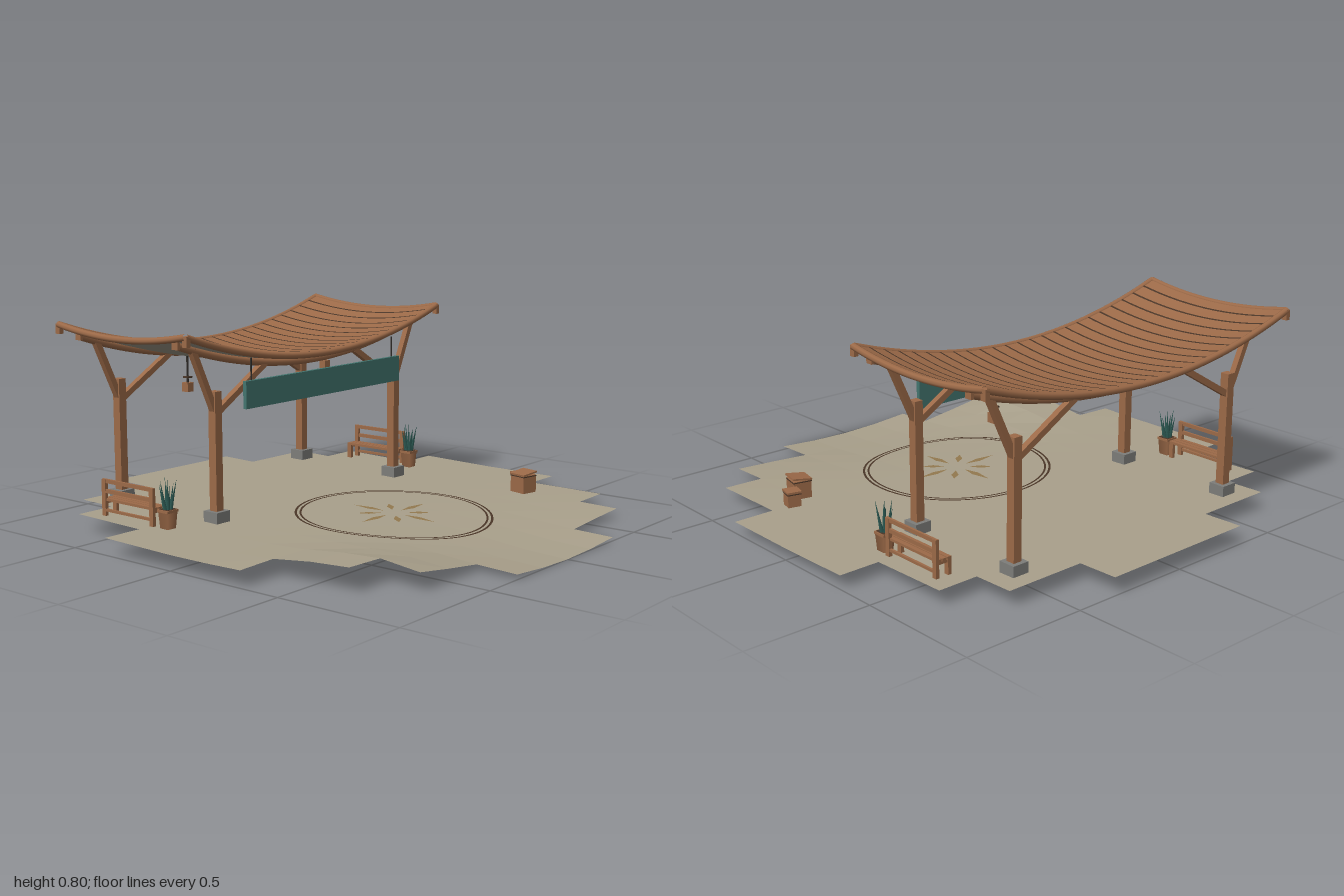
import * as THREE from 'three';

const mat = (name, color) => {
  const m = new THREE.MeshStandardMaterial({ color });
  m.name = name;
  return m;
};

// Gently uneven ground height
const ground = (x, z) => 0.052 - 0.006 * x + 0.02 * Math.max(0, -z)
  + 0.045 * Math.exp(-((x + 0.75) ** 2 + (z - 0.65) ** 2) / 0.07)
  - 0.052 * Math.exp(-(x * x / 0.3 + (z - 1) ** 2 / 0.2));

// Saddle-shaped roof height
const RX = 0.77, RZ = 0.345, ZC = -0.48;
const roofY = (x, z) => 0.62 + 0.135 * (x / 0.777) ** 2 + 0.035 * ((z - ZC) / 0.35) ** 2;

export function createModel() {
  const root = new THREE.Group();
  const wood = mat('wood', 0x9c6a48);
  const darkWood = mat('dark wood', 0x4a3628);
  const sand = mat('sand', 0xa9a08b);
  sand.side = THREE.DoubleSide;
  const lining = mat('roof lining', 0x9a9484);
  const stone = mat('stone', 0x7d7d7a);
  const teal = mat('teal cloth', 0x43756f);
  const leaf = mat('leaf green', 0x2f5f58);
  const ochre = mat('ochre inlay', 0x93794f);
  const cord = mat('cord', 0x33302c);

  const add = (name, geo, material, parent = root) => {
    const m = new THREE.Mesh(geo, material);
    m.name = name;
    parent.add(m);
    return m;
  };
  const box = (name, w, h, d, x, y, z, material, parent = root) => {
    const m = add(name, new THREE.BoxGeometry(w, h, d), material, parent);
    m.position.set(x, y, z);
    return m;
  };
  const bar = (name, a, b, size, material, parent = root) => {
    const p = new THREE.Vector3(...a), q = new THREE.Vector3(...b);
    const m = add(name, new THREE.BoxGeometry(size, size, p.distanceTo(q)), material, parent);
    m.position.copy(p).add(q).multiplyScalar(0.5);
    m.lookAt(q);
    return m;
  };
  const group = (name, x, y, z) => {
    const g = new THREE.Group();
    g.name = name;
    g.position.set(x, y, z);
    root.add(g);
    return g;
  };

  // Ground: square cells inside a rough circle
  const pts = [];
  for (let i = -6; i < 6; i++) for (let j = -6; j < 6; j++) {
    if (Math.hypot(i + 0.5, j + 0.5) >= 6) continue;
    const c = (a, b) => [a / 6, ground(a / 6, b / 6), b / 6];
    pts.push(...c(i, j), ...c(i, j + 1), ...c(i + 1, j + 1), ...c(i, j), ...c(i + 1, j + 1), ...c(i + 1, j));
  }
  const groundGeo = new THREE.BufferGeometry();
  groundGeo.setAttribute('position', new THREE.Float32BufferAttribute(pts, 3));
  groundGeo.computeVertexNormals();
  add('ground', groundGeo, sand);

  // Medallion: flat shapes draped over the ground
  const drape = (name, geo, material) => {
    geo.rotateX(-Math.PI / 2).translate(0, 0, 0.22);
    const p = geo.attributes.position;
    for (let i = 0; i < p.count; i++) p.setY(i, ground(p.getX(i), p.getZ(i)) + 0.004);
    geo.computeVertexNormals();
    add(name, geo, material);
  };
  drape('outerRing', new THREE.RingGeometry(0.379, 0.388, 72), darkWood);
  drape('innerRing', new THREE.RingGeometry(0.361, 0.369, 72), darkWood);
  for (let i = 0; i < 8; i++) {
    const end = i % 2 ? 0.145 : 0.2, mid = i % 2 ? 0.1 : 0.115;
    const petal = new THREE.Shape([[0.05, 0], [mid, -0.015], [end, 0], [mid, 0.015]].map(q => new THREE.Vector2(...q)));
    drape('starPetal', new THREE.ShapeGeometry(petal).rotateZ(i * Math.PI / 4), ochre);
  }

  // Roof sheets and seams
  const sheet = (name, w, d, x, offset, nx, up, material) => {
    const g = new THREE.PlaneGeometry(w, d, nx, 14).rotateX(up ? -Math.PI / 2 : Math.PI / 2).translate(x, 0, ZC);
    const p = g.attributes.position;
    for (let i = 0; i < p.count; i++) p.setY(i, roofY(p.getX(i), p.getZ(i)) + offset);
    g.computeVertexNormals();
    add(name, g, material);
  };
  sheet('roofTop', 2 * RX, 2 * RZ, 0, 0.007, 48, true, wood);
  sheet('roofLining', 2 * RX, 2 * RZ, 0, -0.004, 48, false, lining);
  for (let i = -11; i <= 11; i++) sheet('roofSeam', 0.009, 2 * RZ, i * 0.0642, 0.009, 1, true, darkWood);

  // Curved rails around and beneath the roof
  const rail = (name, at, r) => {
    const curve = new THREE.CatmullRomCurve3(Array.from({ length: 17 }, (_, i) => new THREE.Vector3(...at(i / 8 - 1))));
    add(name, new THREE.TubeGeometry(curve, 32, r, 8), wood);
  };
  for (const s of [-1, 1]) {
    const ze = ZC + s * RZ, zp = s > 0 ? -0.205 : -0.73;
    rail('eaveRail', t => [t * RX, roofY(t * RX, ze), ze], 0.013);
    rail('gableRail', t => [s * RX, roofY(RX, ZC + t * RZ), ZC + t * RZ], 0.013);
    rail('roofBeam', t => [t * 0.75, roofY(t * 0.75, zp) - 0.018, zp], 0.015);
    for (const e of [-1, 1]) {
      box('railEnd', 0.02, 0.04, 0.022, e * 0.766, 0.77, ze, wood);
      box('beamEnd', 0.012, 0.03, 0.03, e * 0.75, roofY(0.75, zp) - 0.018, zp, wood);
    }
  }

  // Posts with stone feet and braces
  for (const s of [-1, 1]) for (const z of [-0.205, -0.73]) {
    const x = 0.552 * s, y = ground(x, z);
    box('postFoot', 0.07, 0.045, 0.07, x, y + 0.02, z, stone);
    box('post', 0.036, 0.56 - y, 0.036, x, (0.56 + y) / 2, z, wood);
    bar('outerBrace', [s * 0.56, 0.49, z], [s * 0.67, roofY(0.67, z) - 0.015, z], 0.024, wood);
    bar('innerBrace', [s * 0.545, 0.478, z], [s * 0.275, roofY(0.275, z) - 0.02, z], 0.024, wood);
  }

  // Hanging banner
  box('banner', 0.95, 0.105, 0.016, 0, 0.5425, -0.124, teal);
  for (const s of [-1, 1]) {
    box('bannerCord', 0.005, 0.09, 0.005, s * 0.435, 0.635, -0.127, cord);

    // Lanterns
    const lx = s * 0.42;
    box('lanternBody', 0.032, 0.036, 0.032, lx, 0.534, ZC, wood);
    box('lanternStem', 0.006, 0.12, 0.006, lx, 0.602, ZC, cord);
    box('lanternCap', 0.026, 0.006, 0.026, lx, 0.573, ZC, darkWood);

    // Bench facing inward, slatted back on the outer side
    const bench = group('bench', s * 0.75, ground(s * 0.75, -0.45), -0.45);
    for (const z of [-0.13, 0.13]) {
      box('backLeg', 0.014, 0.145, 0.02, s * 0.026, 0.0725, z, wood, bench);
      box('frontLeg', 0.014, 0.065, 0.02, s * -0.028, 0.0325, z, wood, bench);
      box('seatBearer', 0.06, 0.01, 0.014, 0, 0.055, z, wood, bench);
    }
    for (const x of [-0.026, -0.004, 0.018]) box('seatSlat', 0.018, 0.01, 0.28, s * x, 0.066, 0, wood, bench);
    for (const y of [0.1, 0.139]) box('backSlat', 0.01, 0.015, 0.28, s * 0.026, y, 0, wood, bench);
    box('lowerRail', 0.01, 0.01, 0.26, s * 0.026, 0.025, 0, wood, bench);

    // Planter with pointed leaves
    const planter = group('planter', s * 0.75, ground(s * 0.75, -0.265), -0.265);
    const pot = add('pot', new THREE.CylinderGeometry(0.036, 0.029, 0.066, 4).rotateY(Math.PI / 4), wood, planter);
    pot.position.y = 0.033;
    box('potRim', 0.056, 0.01, 0.056, 0, 0.068, 0, wood, planter);
    box('soil', 0.046, 0.004, 0.046, 0, 0.0725, 0, darkWood, planter);
    for (let i = 0; i < 7; i++) {
      const a = i * Math.PI / 3, h = i === 6 ? 0.125 : 0.1 + 0.02 * (i % 2), tilt = i === 6 ? 0 : 0.2;
      const blade = add('leaf', new THREE.ConeGeometry(0.009, h, 4).translate(0, h / 2, 0), leaf, planter);
      const r = i === 6 ? 0 : 0.012;
      blade.position.set(Math.cos(a) * r, 0.07, Math.sin(a) * r);
      blade.rotation.set(Math.sin(a) * tilt, 0, -Math.cos(a) * tilt);
    }
  }

  // Crates with loose lids
  for (const [x, z, w, h, turn, tilt] of [[0.665, 0.395, 0.074, 0.078, -0.2, 0.12], [0.742, 0.33, 0.053, 0.06, -0.25, 0]]) {
    const crate = group('crate', x, ground(x, z) - 0.005, z);
    crate.rotation.y = turn;
    box('crateBody', w, h, w, 0, h / 2, 0, wood, crate);
    box('crateLid', w + 0.006, 0.007, w + 0.006, 0, h + 0.004 + tilt * 0.03, 0, wood, crate).rotation.z = tilt;
    box('crateSeam', w + 0.003, 0.004, w + 0.003, 0, h - 0.004, 0, darkWood, crate);
  }
  return root;
}
